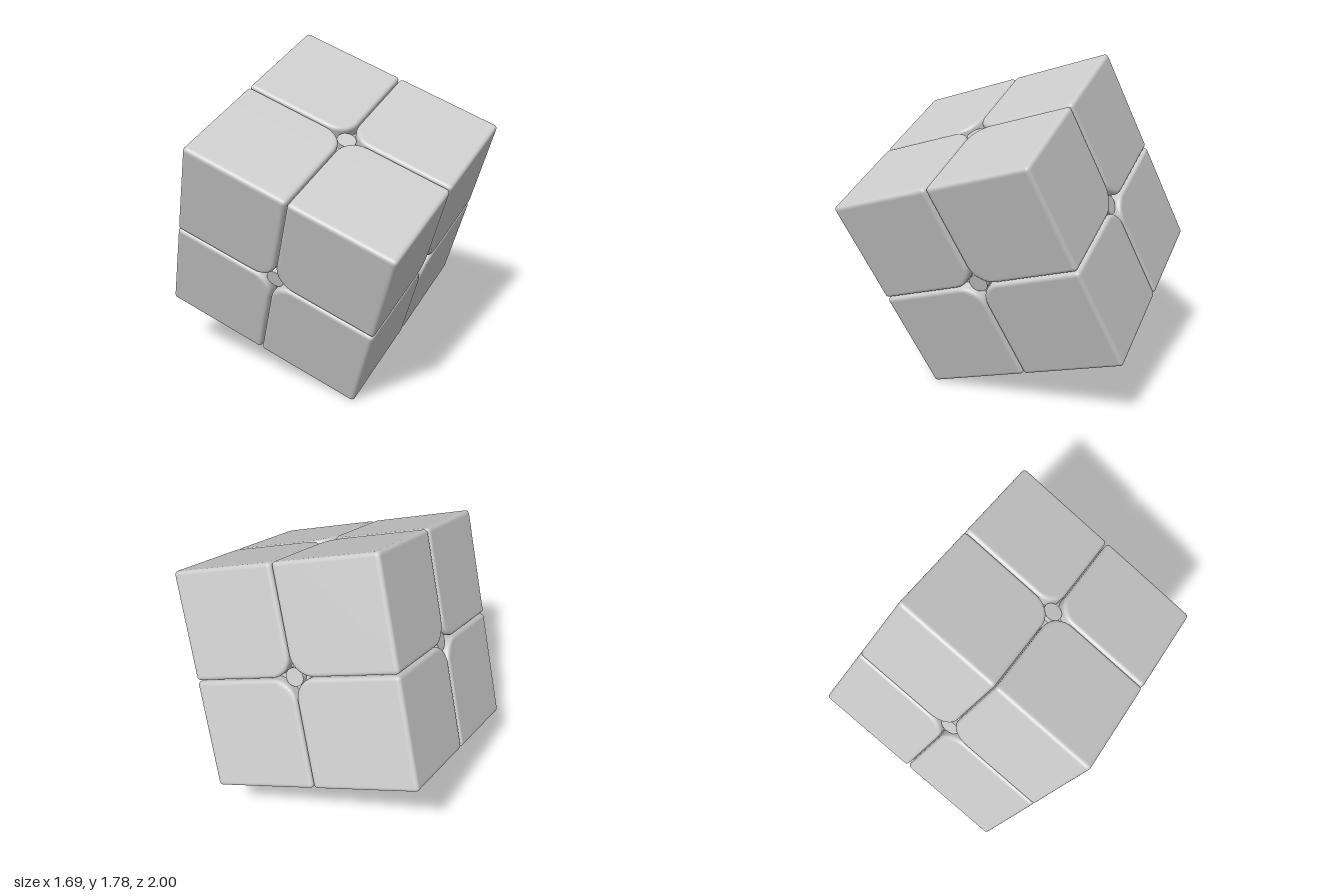
import * as THREE from 'three';

const HALF = 0.593;    // half the cube's side
const GAP = 0.003;     // half the seam between two pieces
const S = (HALF - GAP) / 2; // half the side of one piece
const FILLET = 0.02;   // rounding of the outer rims
const INNER = 0.12;    // rounding of the three edges meeting at the core

// Rounded corner in 2D, at the inner side of a piece
function innerCorner(u, v) {
  const a = -u - S + INNER, b = -v - S + INNER;
  return Math.hypot(Math.max(a, 0), Math.max(b, 0)) + Math.min(Math.max(a, b), 0) - INNER;
}

// Negative inside a piece, positive outside
function field(x, y, z) {
  const inner = Math.max(innerCorner(x, y), innerCorner(y, z), innerCorner(z, x));
  const over = [x - S, y - S, z - S, inner].map((d) => Math.max(d + FILLET, 0));
  return Math.hypot(...over) - FILLET;
}

// A box grid, denser at its edges, pulled onto the rounded surface
function pieceGeometry() {
  const geo = new THREE.BoxGeometry(2, 2, 2, 28, 28, 28);
  const pos = geo.attributes.position, nor = geo.attributes.normal;
  const ease = (t) => Math.sign(t) * (1 - (1 - Math.min(1, Math.abs(t))) ** 2);
  const p = new THREE.Vector3(), n = new THREE.Vector3(), e = 1e-5;
  for (let i = 0; i < pos.count; i++) {
    p.set(ease(pos.getX(i)), ease(pos.getY(i)), ease(pos.getZ(i)));
    let lo = 0, hi = 0.5;
    for (let k = 0; k < 32; k++) {
      const mid = (lo + hi) / 2;
      if (field(p.x * mid, p.y * mid, p.z * mid) < 0) lo = mid; else hi = mid;
    }
    p.multiplyScalar(lo);
    n.set(
      field(p.x + e, p.y, p.z) - field(p.x - e, p.y, p.z),
      field(p.x, p.y + e, p.z) - field(p.x, p.y - e, p.z),
      field(p.x, p.y, p.z + e) - field(p.x, p.y, p.z - e)
    ).normalize();
    pos.setXYZ(i, p.x, p.y, p.z);
    nor.setXYZ(i, n.x, n.y, n.z);
  }
  const c = GAP + S;
  return geo.translate(c, c, c);
}

export function createModel() {
  const model = new THREE.Group();
  model.name = 'twistyCube';
  const material = new THREE.MeshStandardMaterial({ color: 0xcccccc });
  const add = (name, geo) => {
    const mesh = new THREE.Mesh(geo, material);
    mesh.name = name;
    cube.add(mesh);
    return mesh;
  };

  const cube = new THREE.Group();
  cube.name = 'cube';
  model.add(cube);

  // Eight corner pieces: four turned about y, then the same flipped over
  const piece = pieceGeometry();
  for (let flip = 0; flip < 2; flip++) {
    for (let turn = 0; turn < 4; turn++) {
      add('cornerPiece', piece).rotation.set(flip * Math.PI, turn * Math.PI / 2, 0);
    }
  }

  // Core ball and the three axles whose ends show at the face centres
  add('core', new THREE.SphereGeometry(0.535, 48, 32));
  const axle = new THREE.CylinderGeometry(0.05, 0.05, 1.13, 32);
  add('axleY', axle);
  add('axleX', axle).rotation.z = Math.PI / 2;
  add('axleZ', axle).rotation.x = Math.PI / 2;

  // Tilt the cube so that it rests on one corner
  const up = new THREE.Vector3(0.03, 0.898, 0.438).normalize();
  const side = new THREE.Vector3(0.703, 0.29, -0.647);
  const depth = new THREE.Vector3().crossVectors(side, up).normalize();
  side.crossVectors(up, depth);
  cube.quaternion.setFromRotationMatrix(new THREE.Matrix4().makeBasis(side, up, depth));
  cube.position.y = 0.893;
  return model;
}
